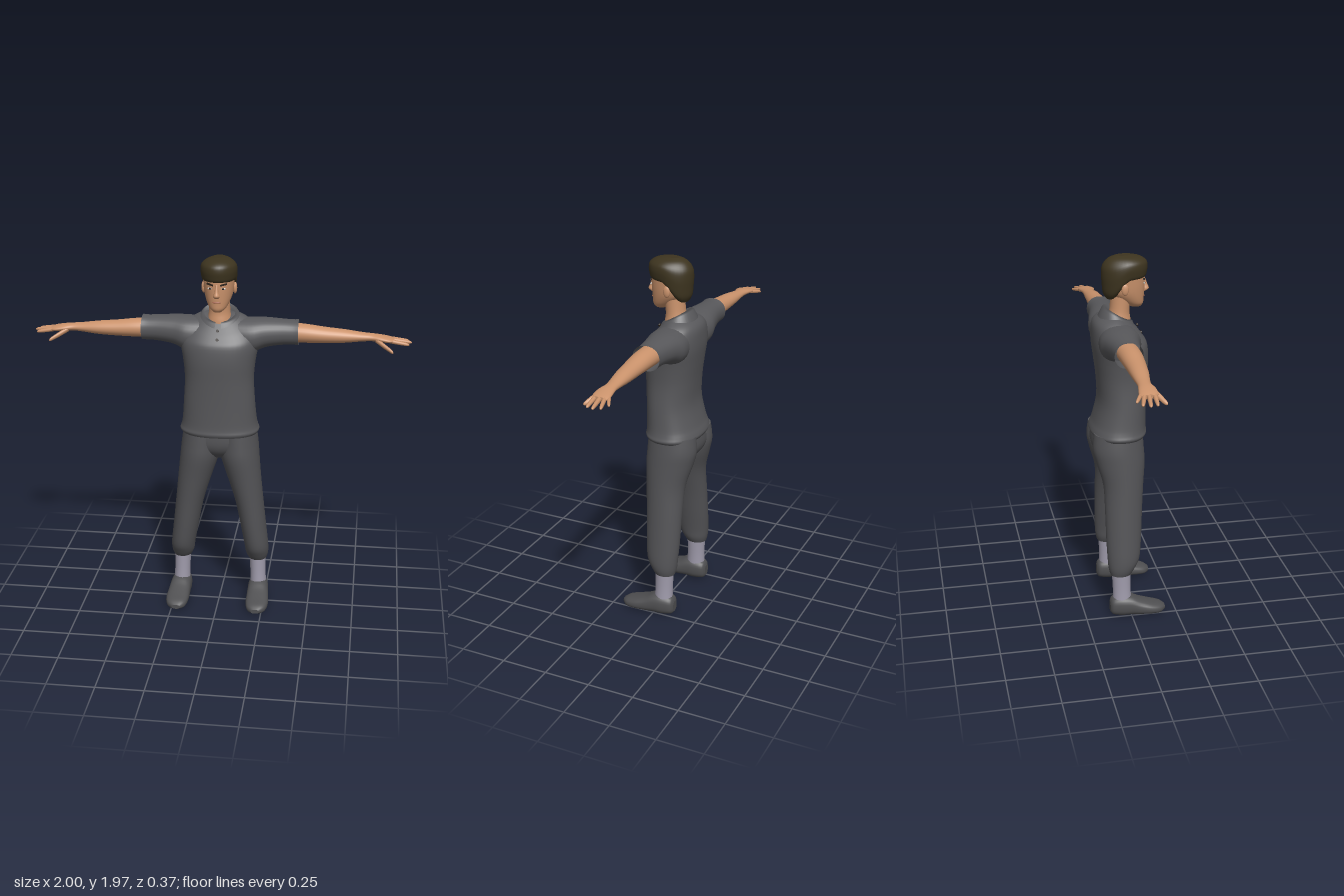
import * as THREE from 'three';

const mat = (name, color, side = THREE.FrontSide) => {
  const m = new THREE.MeshStandardMaterial({ color, side });
  m.name = name;
  return m;
};

// Smooth skin through elliptical sections [t, a, b, ra, rb] stacked along one axis.
// Axis y: a = x, b = z.  Axis x: a = z, b = y.  Axis z: a = y, b = x.
const place = {
  y: (t, a, b) => [a, t, b],
  x: (t, a, b) => [t, b, a],
  z: (t, a, b) => [b, a, t],
};
const spline = (a, b, c, d, t) =>
  b + 0.5 * t * (c - a + t * (2 * a - 5 * b + 4 * c - d + t * (3 * (b - c) + d - a)));

function loft(axis, sections, { sides = 28, steps = 4, power = 2, caps = true, warp } = {}) {
  const rows = [];
  const last = sections.length - 1;
  for (let i = 0; i < last; i++) {
    const [p, q, r, s] = [Math.max(i - 1, 0), i, i + 1, Math.min(i + 2, last)].map(k => sections[k]);
    for (let k = 0; k < steps; k++) rows.push(q.map((v, n) => spline(p[n], v, r[n], s[n], k / steps)));
  }
  rows.push(sections[last]);
  const pos = [], index = [];
  const round = v => Math.sign(v) * Math.abs(v) ** (2 / power);
  const addPoint = p => {
    const v = new THREE.Vector3(...p);
    if (warp) warp(v);
    pos.push(v.x, v.y, v.z);
  };
  const addRing = ([t, a, b, ra, rb]) => {
    for (let j = 0; j < sides; j++) {
      const w = (j / sides) * Math.PI * 2;
      addPoint(place[axis](t, a + ra * round(Math.cos(w)), b + rb * round(Math.sin(w))));
    }
  };
  rows.forEach(addRing);
  for (let i = 0; i < rows.length - 1; i++) {
    for (let j = 0; j < sides; j++) {
      const a = i * sides + j, b = i * sides + (j + 1) % sides;
      index.push(a, a + sides, b, b, a + sides, b + sides);
    }
  }
  if (caps) [rows[0], rows[rows.length - 1]].forEach((row, end) => {
    const start = pos.length / 3;
    addRing(row);
    addPoint(place[axis](row[0], row[1], row[2]));
    for (let j = 0; j < sides; j++) {
      const a = start + j, b = start + (j + 1) % sides;
      index.push(start + sides, end ? b : a, end ? a : b);
    }
  });
  const g = new THREE.BufferGeometry();
  g.setAttribute('position', new THREE.Float32BufferAttribute(pos, 3));
  g.setIndex(index);
  g.computeVertexNormals();
  return g;
}

// Mirror across x = 0, keeping faces outward
function mirror(geometry) {
  const g = geometry.clone().scale(-1, 1, 1);
  const ix = g.index.array;
  for (let i = 0; i < ix.length; i += 3) [ix[i], ix[i + 1]] = [ix[i + 1], ix[i]];
  return g;
}

// Folded collar: a strip running from one front tip round the back to the other
function collarGeometry() {
  const n = 40, pos = [], index = [];
  const edges = [[0.07, 0.058, -0.03], [0.083, 0.066, 0], [0.098, 0.078, -0.008], [0.128, 0.1, -0.055]];
  for (let i = 0; i <= n; i++) {
    const w = (i / n * 2 - 1) * Math.PI * 0.95;
    const front = (1 - Math.cos(w)) / 2;
    for (const [rx, rz, dy] of edges)
      pos.push(Math.sin(w) * rx, 1.705 - 0.075 * front + dy, -0.032 - Math.cos(w) * rz);
    if (i < n) for (let k = 0; k < 3; k++) {
      const a = i * 4 + k;
      index.push(a, a + 4, a + 1, a + 1, a + 4, a + 5);
    }
  }
  const g = new THREE.BufferGeometry();
  g.setAttribute('position', new THREE.Float32BufferAttribute(pos, 3));
  g.setIndex(index);
  g.computeVertexNormals();
  return g;
}

export function createModel() {
  const skin = mat('skin', 0xcb936c);
  const hair = mat('hair', 0x3d341f);
  const shirt = mat('shirt grey', 0x58585b, THREE.DoubleSide);
  const trouser = mat('trouser grey', 0x535356);
  const sock = mat('sock grey', 0x9f9bab);
  const shoe = mat('shoe grey', 0x505052);
  const dark = mat('dark detail', 0x2a211a);
  const white = mat('eye white', 0xd8d0c8);
  const lip = mat('lip', 0xa8664f);

  const model = new THREE.Group();
  model.name = 'standingMan';
  const add = (name, geometry, material) => {
    const m = new THREE.Mesh(geometry, material);
    m.name = name;
    model.add(m);
    return m;
  };
  const pair = (name, geometry, material) => {
    add(name + 'Left', geometry, material);
    add(name + 'Right', mirror(geometry), material);
  };
  const ball = (x, y, z, rx, ry, rz) => new THREE.SphereGeometry(1, 16, 12).scale(rx, ry, rz).translate(x, y, z);

  // Head and neck
  add('head', loft('y', [
    [1.695, 0, 0.066, 0.02, 0.026], [1.712, 0, 0.056, 0.041, 0.048], [1.74, 0, 0.035, 0.058, 0.072],
    [1.78, 0, 0.01, 0.073, 0.1], [1.83, 0, 0.005, 0.08, 0.107], [1.88, 0, 0.002, 0.082, 0.107],
    [1.925, 0, 0, 0.066, 0.085], [1.95, 0, 0, 0.03, 0.04]]), skin);
  add('neck', loft('y', [
    [1.58, 0, -0.03, 0.075, 0.07], [1.63, 0, -0.026, 0.064, 0.064],
    [1.68, 0, -0.02, 0.056, 0.052], [1.76, 0, -0.012, 0.056, 0.055]]), skin);
  add('nose', loft('y', [
    [1.774, 0, 0.108, 0.012, 0.01], [1.787, 0, 0.115, 0.017, 0.02],
    [1.81, 0, 0.111, 0.01, 0.016], [1.845, 0, 0.106, 0.007, 0.008]], { sides: 14 }), skin);
  pair('ear', ball(0.082, 1.805, -0.005, 0.011, 0.031, 0.019), skin);

  // Hair, with the lower edge rising from nape to forehead
  add('hair', loft('y', [
    [1.745, 0, -0.005, 0.065, 0.085], [1.775, 0, 0.004, 0.086, 0.11], [1.82, 0, 0.006, 0.093, 0.117],
    [1.87, 0, 0.006, 0.095, 0.12], [1.915, 0, 0.005, 0.088, 0.114], [1.95, 0, 0.003, 0.062, 0.085],
    [1.968, 0, 0, 0.025, 0.04]], {
    sides: 36,
    warp: p => {
      const edge = 1.745 + 0.095 * THREE.MathUtils.smoothstep(p.z, -0.08, 0.03);
      p.y = 1.97 - (1.97 - p.y) * (1.97 - edge) / 0.225;
    },
  }), hair);

  // Facial features
  pair('eye', ball(0.033, 1.824, 0.103, 0.014, 0.0055, 0.004), white);
  pair('iris', ball(0.033, 1.824, 0.106, 0.006, 0.0055, 0.003), dark);
  pair('eyebrow', new THREE.BoxGeometry(0.036, 0.008, 0.008).rotateZ(0.2).rotateY(0.28).translate(0.034, 1.845, 0.103), dark);
  add('mouth', ball(0, 1.752, 0.107, 0.022, 0.005, 0.004), lip);

  // Shirt
  add('shirtBody', loft('y', [
    [1.01, 0, -0.033, 0.204, 0.143], [1.026, 0, -0.033, 0.213, 0.15], [1.048, 0, -0.032, 0.206, 0.146],
    [1.09, 0, -0.025, 0.198, 0.138], [1.2, 0, -0.012, 0.189, 0.127], [1.32, 0, -0.012, 0.183, 0.132],
    [1.42, 0, -0.015, 0.192, 0.141], [1.5, 0, -0.023, 0.205, 0.143], [1.56, 0, -0.032, 0.2, 0.135],
    [1.61, 0, -0.038, 0.172, 0.124], [1.64, 0, -0.04, 0.135, 0.103], [1.665, 0, -0.036, 0.085, 0.067]], {
    sides: 44, power: 2.3,
    warp: p => { p.y -= Math.max(0, p.z + 0.04) * 0.5 * THREE.MathUtils.smoothstep(p.y, 1.5, 1.66); },
  }), shirt);
  pair('sleeve', loft('x', [
    [0.08, -0.045, 1.54, 0.1, 0.095], [0.17, -0.047, 1.545, 0.108, 0.092], [0.24, -0.05, 1.56, 0.092, 0.077],
    [0.32, -0.05, 1.565, 0.077, 0.068], [0.38, -0.05, 1.565, 0.072, 0.065], [0.412, -0.05, 1.566, 0.073, 0.066]],
  { caps: false, power: 2.2 }), shirt);
  add('collar', collarGeometry(), shirt);
  [[1.55, 0.096], [1.592, 0.075]].forEach(([y, z]) =>
    add('shirtButton', new THREE.CylinderGeometry(0.008, 0.008, 0.008, 14).rotateX(1.2).translate(0, y, z), dark));

  // Arms and hands
  pair('arm', loft('x', [
    [0.36, -0.045, 1.565, 0.058, 0.052], [0.45, -0.042, 1.563, 0.056, 0.049], [0.55, -0.042, 1.558, 0.05, 0.042],
    [0.65, -0.045, 1.555, 0.044, 0.035], [0.74, -0.05, 1.553, 0.035, 0.024], [0.79, -0.052, 1.552, 0.033, 0.02],
    [0.835, -0.05, 1.549, 0.042, 0.018], [0.88, -0.052, 1.543, 0.046, 0.015], [0.908, -0.056, 1.54, 0.036, 0.01]]), skin);
  const fingers = [ // base x, y, z, tip x, y, z, radius
    ['littleFinger', 0.87, 1.541, -0.085, 0.94, 1.527, -0.12, 0.01],
    ['ringFinger', 0.88, 1.542, -0.072, 0.983, 1.526, -0.1, 0.011],
    ['middleFinger', 0.88, 1.543, -0.052, 1.0, 1.526, -0.066, 0.0115],
    ['indexFinger', 0.88, 1.542, -0.026, 0.985, 1.523, -0.03, 0.011],
    ['thumb', 0.81, 1.545, -0.03, 0.905, 1.495, 0.03, 0.014]];
  for (const [name, x0, y0, z0, x1, y1, z1, r] of fingers) {
    const mix = THREE.MathUtils.lerp;
    pair(name, loft('x', [[0, 1], [0.4, 1], [0.75, 0.85], [0.93, 0.65], [1, 0.15]].map(([t, k]) =>
      [mix(x0, x1, t), mix(z0, z1, t), mix(y0, y1, t), r * k, r * k]), { sides: 12, steps: 3 }), skin);
  }

  // Trousers
  add('trouserSeat', loft('y', [
    [0.87, 0, -0.04, 0.06, 0.07], [0.91, 0, -0.045, 0.15, 0.112],
    [0.96, 0, -0.047, 0.195, 0.13], [1.035, 0, -0.045, 0.193, 0.125]], { power: 2.3 }), trouser);
  pair('trouserLeg', loft('y', [
    [0.25, 0.211, -0.055, 0.05, 0.056], [0.285, 0.208, -0.048, 0.062, 0.072], [0.34, 0.204, -0.038, 0.066, 0.087],
    [0.45, 0.188, -0.034, 0.07, 0.095], [0.6, 0.165, -0.03, 0.077, 0.1], [0.75, 0.135, -0.026, 0.092, 0.108],
    [0.87, 0.11, -0.036, 0.106, 0.13], [0.95, 0.102, -0.046, 0.106, 0.137], [1.035, 0.097, -0.045, 0.098, 0.13]]), trouser);

  // Socks and shoes
  pair('sock', loft('y', [
    [0.07, 0.217, -0.048, 0.046, 0.052], [0.16, 0.214, -0.05, 0.043, 0.049], [0.27, 0.211, -0.053, 0.046, 0.052]]), sock);
  pair('shoe', loft('z', [
    [-0.115, 0.055, 0.215, 0.03, 0.022], [-0.1, 0.06, 0.215, 0.05, 0.044], [-0.05, 0.062, 0.217, 0.06, 0.056],
    [0, 0.06, 0.219, 0.056, 0.058], [0.05, 0.048, 0.221, 0.044, 0.061], [0.11, 0.038, 0.223, 0.033, 0.062],
    [0.16, 0.031, 0.222, 0.025, 0.05], [0.188, 0.028, 0.22, 0.012, 0.022]], { power: 2.5,
    warp: p => { p.y = Math.max(p.y, 0) * 1.0; } }), shoe);

  return model;
}
